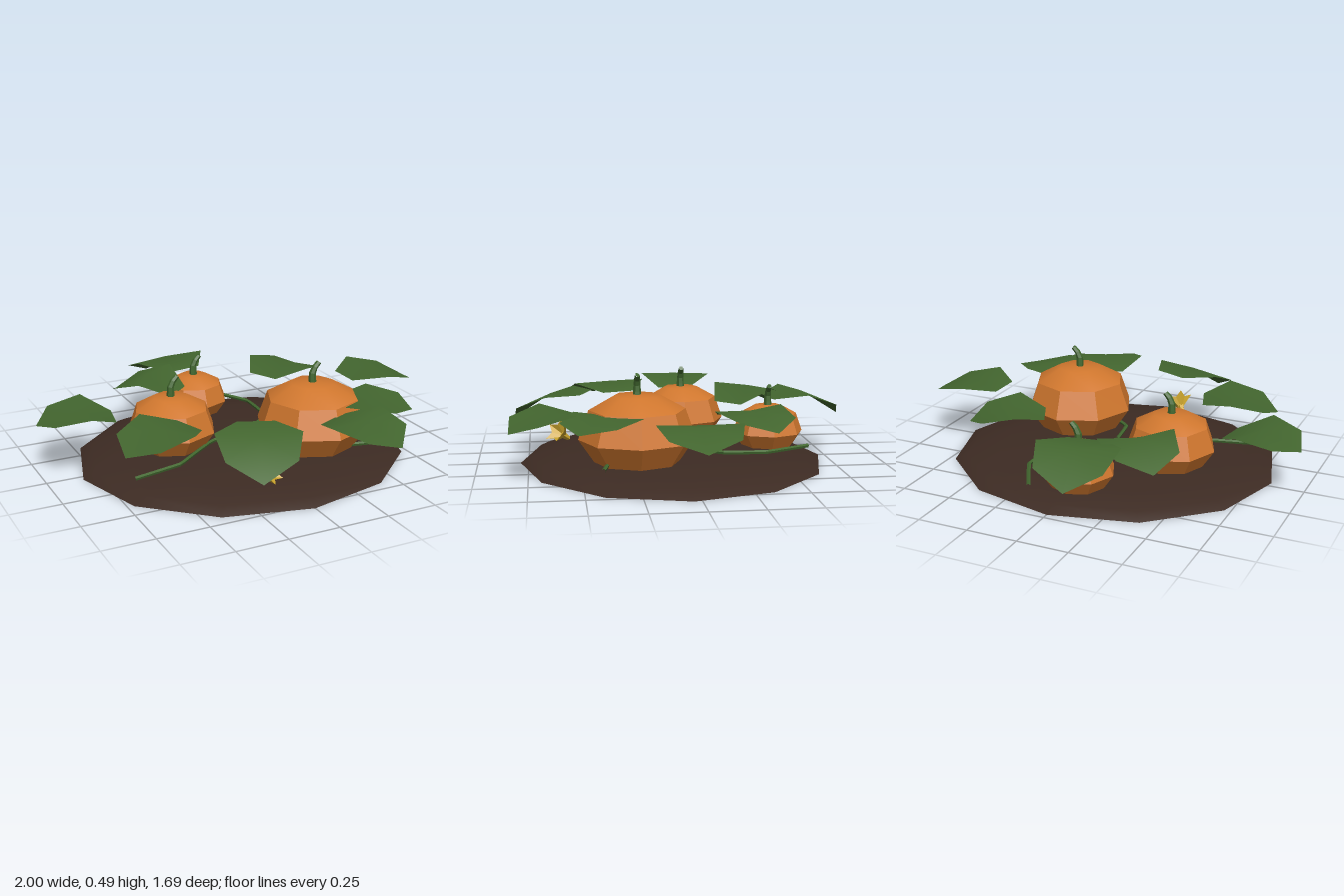
import * as THREE from 'three';
import { toCreasedNormals } from 'three/addons/utils/BufferGeometryUtils.js';

const paint = (name, color, options = {}) =>
  Object.assign(new THREE.MeshStandardMaterial({ color, ...options }), { name });

export function createModel() {
  const soil = paint('soil brown', 0x3d2b23);
  const orange = paint('pumpkin orange', 0xd0772e);
  const stemGreen = paint('vine green', 0x42682f, { flatShading: true });
  const leafGreen = paint('leaf green', 0x43662f, { side: THREE.DoubleSide });
  const yellow = paint('flower yellow', 0xcba42c, { side: THREE.DoubleSide, flatShading: true });

  const model = new THREE.Group();
  model.name = 'pumpkinPatch';
  const add = (parent, name, geometry, material) => {
    const mesh = new THREE.Mesh(geometry, material);
    mesh.name = name;
    parent.add(mesh);
    return mesh;
  };
  // Turned shape, smooth except across sharp edges
  const lathe = (points, sides) => toCreasedNormals(
    new THREE.LatheGeometry(points.map(([r, y]) => new THREE.Vector2(r, y)), sides), 0.6);

  // Low twelve-sided soil mound with a closed underside
  const mound = add(model, 'soilMound', lathe(
    [[0, 0], [1, 0], [0.924, 0.028], [0.707, 0.048], [0.383, 0.062], [0, 0.067]], 12), soil);
  mound.scale.set(0.83, 1, 0.755);
  mound.position.z = 0.035;

  // Bent, tapering stalk with six sides
  function stalkGeometry() {
    const path = new THREE.CatmullRomCurve3([
      new THREE.Vector3(0, -0.01, 0), new THREE.Vector3(0.002, 0.065, 0), new THREE.Vector3(0.034, 0.105, 0)]);
    const rings = 4, sides = 6;
    const geo = new THREE.TubeGeometry(path, rings, 0.021, sides);
    const pos = geo.attributes.position, v = new THREE.Vector3();
    for (let i = 0; i < pos.count; i++) {
      const t = Math.floor(i / (sides + 1)) / rings, c = path.getPointAt(t);
      v.fromBufferAttribute(pos, i).sub(c).multiplyScalar(1 - 0.4 * t).add(c);
      pos.setXYZ(i, v.x, v.y, v.z);
    }
    return geo;
  }

  // Eight-sided pumpkins: x, z, base height, scale
  const profile = [[0, 0], [0.205, 0], [0.28, 0.11], [0.23, 0.25], [0.11, 0.317], [0, 0.322]];
  [[0.294, 0.235, 0.062, 1], [-0.338, -0.05, 0.06, 0.8], [-0.035, -0.46, 0.055, 0.64]].forEach(([x, z, y, s]) => {
    const pumpkin = new THREE.Group();
    pumpkin.name = 'pumpkin';
    pumpkin.position.set(x, y, z);
    add(pumpkin, 'pumpkinBody', lathe(profile, 8), orange).scale.setScalar(s);
    const stalk = add(pumpkin, 'pumpkinStalk', stalkGeometry(), stemGreen);
    stalk.position.y = 0.312 * s;
    // Cap on the cut end of the stalk
    const cap = add(stalk, 'stalkTip', new THREE.CircleGeometry(0.0126, 6), stemGreen);
    cap.position.set(0.034, 0.105, 0);
    cap.lookAt(0.034 + 0.6, 0.105 + 0.7, 0);
    model.add(pumpkin);
  });

  // Vines lying on the soil in nearly straight runs
  [
    [[0.14, -0.63], [0.26, -0.4], [0.25, -0.2], [0.19, -0.11], [0, 0.01], [-0.16, 0.04], [-0.33, 0.17], [-0.42, 0.24], [-0.67, 0.3]],
    [[0, 0.06], [0.03, 0.25], [0.17, 0.35], [0.37, 0.37], [0.55, 0.41]],
  ].forEach((points) => {
    const path = new THREE.CatmullRomCurve3(
      points.map(([x, z]) => new THREE.Vector3(x, 0.08, z)), false, 'catmullrom', 0.1);
    add(model, 'vine', new THREE.TubeGeometry(path, points.length * 4, 0.01, 5), stemGreen);
  });

  // Seven-sided leaf arched along its length, with the tip drooping
  function leafGeometry(radius, angle, tipDrop, baseDrop) {
    const sides = 7, pos = [0, -0.008, 0], index = [];
    for (let i = 0; i < sides; i++) {
      const a = (i / sides) * Math.PI * 2, t = Math.cos(a);
      const drop = t > 0 ? tipDrop * t ** 1.6 : baseDrop * t * t;
      pos.push(radius * Math.cos(a + angle), -drop, radius * Math.sin(a + angle));
      index.push(0, 1 + ((i + 1) % sides), 1 + i);
    }
    const geo = new THREE.BufferGeometry();
    geo.setAttribute('position', new THREE.Float32BufferAttribute(pos, 3));
    geo.setIndex(index);
    geo.computeVertexNormals();
    return geo;
  }

  // Leaves: x, z, radius, tip direction in degrees, tip height, droop at the base
  [
    [-0.81, -0.08, 0.195, -170, 0.25, 0.08], [-0.32, -0.41, 0.195, -133, 0.21, 0.1],
    [-0.115, -0.65, 0.205, -100, 0.19, 0.04], [0.42, -0.3, 0.195, -25, 0.24, 0.06],
    [0.8, 0, 0.2, 0, 0.24, 0.04], [0.53, 0.41, 0.195, 36, 0.27, 0.04],
    [0.335, 0.65, 0.205, 65, 0.23, 0.06], [-0.2, 0.63, 0.205, 112, 0.18, 0],
    [-0.555, 0.33, 0.2, 162, 0.23, 0.05],
  ].forEach(([x, z, r, deg, tip, baseDrop]) => {
    const top = 0.325;
    add(model, 'leaf', leafGeometry(r, THREE.MathUtils.degToRad(deg), top - tip, baseDrop), leafGreen)
      .position.set(x, top, z);
  });

  // Deep trumpet flower with five pointed petals, opening along +z
  const star = [0, 0, 0.02], faces = [];
  for (let i = 0; i < 10; i++) {
    const a = (i / 10) * Math.PI * 2 + Math.PI / 2, r = i % 2 ? 0.042 : 0.07;
    star.push(r * Math.cos(a), r * Math.sin(a), i % 2 ? 0.08 : 0.095);
    faces.push(0, 1 + i, 1 + ((i + 1) % 10));
  }
  const petals = new THREE.BufferGeometry();
  petals.setAttribute('position', new THREE.Float32BufferAttribute(star, 3));
  petals.setIndex(faces);
  petals.computeVertexNormals();
  const flower = new THREE.Group();
  flower.name = 'flower';
  add(flower, 'flowerPetals', petals, yellow);
  const tube = add(flower, 'flowerTube', new THREE.CylinderGeometry(0.018, 0.012, 0.045, 5), yellow);
  tube.rotation.x = Math.PI / 2;
  tube.position.z = 0.02;
  flower.position.set(-0.17, 0.085, 0.55);
  flower.lookAt(-0.17 + 0.5, 0.085 + 0.55, 0.55 + 0.65);
  model.add(flower);

  return model;
}
